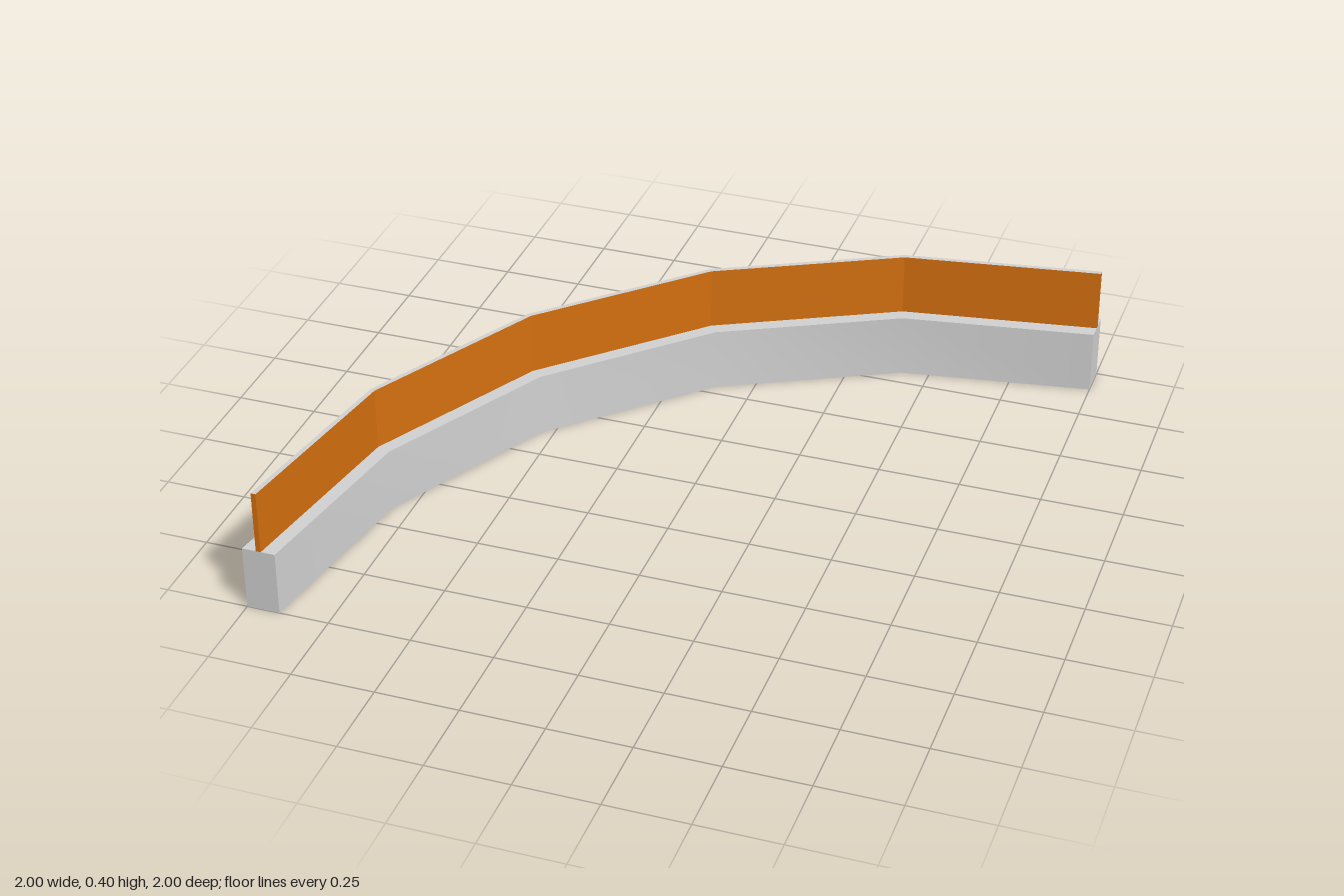
import * as THREE from 'three';

const SEGMENTS = 5;
const CURB = { inner: 1.9, outer: 2, bottom: 0, top: 0.2 };
const FENCE = { inner: 1.9425, outer: 1.9575, bottom: 0.2, top: 0.395 };

// Quarter-ring band between two profile points [radius, height], centred on (1, 1)
function band([r0, y0], [r1, y1], faceted) {
  const positions = [], index = [];
  for (let i = 0; i <= SEGMENTS; i++) {
    const a = (i / SEGMENTS) * Math.PI / 2;
    const c = Math.cos(a), s = Math.sin(a);
    positions.push(1 - r0 * c, y0, 1 - r0 * s, 1 - r1 * c, y1, 1 - r1 * s);
    if (i < SEGMENTS) {
      const k = i * 2;
      index.push(k, k + 2, k + 1, k + 1, k + 2, k + 3);
    }
  }
  let geometry = new THREE.BufferGeometry();
  geometry.setAttribute('position', new THREE.Float32BufferAttribute(positions, 3));
  geometry.setIndex(index);
  if (faceted) geometry = geometry.toNonIndexed();
  geometry.computeVertexNormals();
  return geometry;
}

export function createModel() {
  const model = new THREE.Group();
  model.name = 'curvedBarrier';
  const grey = new THREE.MeshStandardMaterial({ color: 0xd2d2d2, side: THREE.DoubleSide });
  grey.name = 'light grey';
  const orange = new THREE.MeshStandardMaterial({ color: 0xd4700f, side: THREE.DoubleSide });
  orange.name = 'orange';

  const add = (parent, name, geometry, material) => {
    const mesh = new THREE.Mesh(geometry, material);
    mesh.name = name;
    parent.add(mesh);
    return mesh;
  };

  // Flat plates closing both ends of a ring section
  const addEnds = (parent, name, { inner, outer, bottom, top }, material) => {
    const mid = 1 - (inner + outer) / 2, y = (bottom + top) / 2;
    const plate = new THREE.PlaneGeometry(outer - inner, top - bottom);
    add(parent, name + 'FrontEnd', plate, material).position.set(mid, y, 1);
    const side = add(parent, name + 'LeftEnd', plate, material);
    side.position.set(1, y, mid);
    side.rotation.y = Math.PI / 2;
  };

  // Smooth base, open underneath and below the panel
  const base = new THREE.Group();
  base.name = 'base';
  const { top } = CURB;
  add(base, 'baseInnerWall', band([CURB.inner, 0], [CURB.inner, top]), grey);
  add(base, 'baseInnerLedge', band([CURB.inner, top], [FENCE.inner, top]), grey);
  add(base, 'baseOuterLedge', band([FENCE.outer, top], [CURB.outer, top]), grey);
  add(base, 'baseOuterWall', band([CURB.outer, top], [CURB.outer, 0]), grey);
  addEnds(base, 'base', CURB, grey);

  // Thin faceted upright panel with a grey top edge
  const panel = new THREE.Group();
  panel.name = 'panel';
  const { inner, outer, bottom, top: rim } = FENCE;
  add(panel, 'panelInnerFace', band([inner, bottom], [inner, rim], true), orange);
  add(panel, 'panelOuterFace', band([outer, rim], [outer, bottom], true), orange);
  add(panel, 'panelTopEdge', band([inner, rim], [outer, rim]), grey);
  addEnds(panel, 'panel', FENCE, orange);

  model.add(base, panel);
  return model;
}
